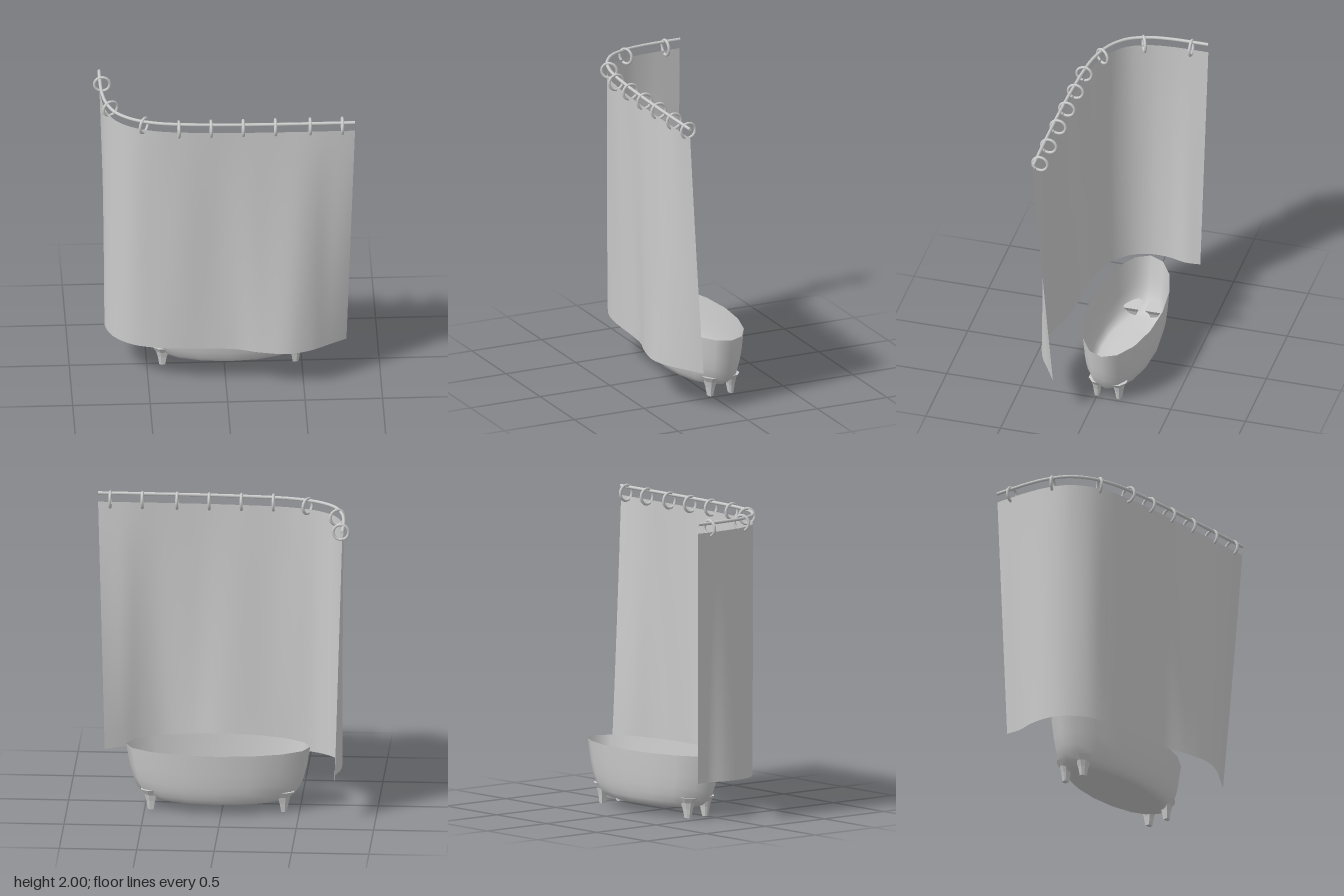
import * as THREE from 'three';

const grey = new THREE.MeshStandardMaterial({ color: 0xcccccc, side: THREE.DoubleSide });
const flatGrey = new THREE.MeshStandardMaterial({ color: 0xcccccc, flatShading: true });

const curveAt = (y, points) =>
  new THREE.CatmullRomCurve3(points.map(([x, z]) => new THREE.Vector3(x, y, z)));

// Plan of the rail and curtain top, and of the wavy curtain hem (x, z)
const railPlan = [
  [-0.79, -0.39], [-0.79, -0.27], [-0.785, -0.13], [-0.765, 0], [-0.71, 0.13],
  [-0.6, 0.225], [-0.45, 0.28], [-0.3, 0.303], [-0.1, 0.317], [0.06, 0.324],
  [0.22, 0.328], [0.42, 0.33], [0.57, 0.33], [0.69, 0.33], [0.83, 0.33],
];
const hemPlan = [
  [-0.74, -0.35], [-0.735, -0.25], [-0.765, -0.13], [-0.765, 0], [-0.715, 0.12],
  [-0.6, 0.22], [-0.45, 0.268], [-0.3, 0.285], [-0.1, 0.294], [0.06, 0.31],
  [0.22, 0.358], [0.4, 0.385], [0.54, 0.348], [0.66, 0.28], [0.78, 0.21],
];

function makeCurtain() {
  const top = curveAt(1.92, railPlan), hem = curveAt(0.28, hemPlan);
  const geo = new THREE.PlaneGeometry(1, 1, 84, 14);
  const pos = geo.attributes.position;
  for (let i = 0; i < pos.count; i++) {
    const u = pos.getX(i) + 0.5, t = 0.5 - pos.getY(i);
    const p = top.getPoint(u).lerp(hem.getPoint(u), t);
    // Faint folds that fade out at the top and hem
    p.z += 0.004 * Math.sin(u * 40) * Math.sin(t * Math.PI);
    pos.setXYZ(i, p.x, p.y, p.z);
  }
  geo.computeVertexNormals();
  const mesh = new THREE.Mesh(geo, grey);
  mesh.name = 'curtain';
  return mesh;
}

function makeRail() {
  const rail = new THREE.Group();
  rail.name = 'curtainRail';
  const path = curveAt(1.98, railPlan);
  const tube = new THREE.Mesh(new THREE.TubeGeometry(path, 64, 0.011, 8), grey);
  tube.name = 'rod';
  rail.add(tube);
  // End discs of the rod
  for (const u of [0, 1]) {
    const cap = new THREE.Mesh(new THREE.CircleGeometry(0.011, 8), grey);
    cap.position.copy(path.getPoint(u));
    cap.lookAt(cap.position.clone().addScaledVector(path.getTangent(u), u ? 1 : -1));
    cap.name = 'rodEnd';
    rail.add(cap);
  }
  return rail;
}

// Hanging rings: x, z and the direction of the rail through each
function makeRings() {
  const rings = new THREE.Group();
  rings.name = 'curtainRings';
  const spots = [[-0.775, -0.28, 0, -1], [-0.735, 0.025, 0.42, 0.9], [-0.528, 0.245, 0.83, 0.55]];
  for (const x of [-0.305, -0.098, 0.11, 0.318, 0.542, 0.75]) spots.push([x, 0.305, 1, 0]);
  const geo = new THREE.TorusGeometry(0.05, 0.0095, 8, 20);
  for (const [x, z, dx, dz] of spots) {
    const ring = new THREE.Mesh(geo, grey);
    ring.position.set(x, 1.945, z);
    ring.rotation.y = Math.atan2(dx, dz);
    ring.name = 'ring';
    rings.add(ring);
  }
  return rings;
}

// Foot: a flaring cross-section lofted upward, mirrored by sx and sz
function makeFoot(sx, sz) {
  const outline = [[-0.06, -0.055], [-0.06, 0.05], [0.02, 0.05], [0.065, 0.015], [0.065, -0.025], [0.045, -0.055]];
  if (sx * sz < 0) outline.reverse();
  const levels = [[0, 0.3], [0.06, 0.45], [0.1, 0.62], [0.135, 1]];
  const rows = levels.map(([y, s]) => outline.map(([x, z]) => [sx * (0.43 + x * s), y, sz * (0.075 + z * s)]));
  const n = outline.length, v = [];
  for (let r = 0; r + 1 < rows.length; r++) {
    for (let i = 0; i < n; i++) {
      const j = (i + 1) % n;
      const a = rows[r][i], b = rows[r][j], c = rows[r + 1][j], d = rows[r + 1][i];
      v.push(...a, ...b, ...c, ...a, ...c, ...d);
    }
  }
  const low = rows[0], high = rows[rows.length - 1];
  for (let i = 1; i + 1 < n; i++) {
    v.push(...low[0], ...low[i + 1], ...low[i], ...high[0], ...high[i], ...high[i + 1]);
  }
  const geo = new THREE.BufferGeometry();
  geo.setAttribute('position', new THREE.Float32BufferAttribute(v, 3));
  geo.computeVertexNormals();
  const foot = new THREE.Mesh(geo, flatGrey);
  foot.name = 'foot';
  return foot;
}

function makeTub() {
  const tub = new THREE.Group();
  tub.name = 'bathtub';
  // Thin oval basin, radius as a share of the rim
  const profile = [
    [0, 0.06], [0.4, 0.06], [0.68, 0.062], [0.77, 0.075], [0.84, 0.105],
    [0.89, 0.15], [0.925, 0.2], [0.96, 0.28], [1, 0.415],
  ].map(([r, y]) => new THREE.Vector2(r, y));
  const geo = new THREE.LatheGeometry(profile, 16).scale(0.595, 1, 0.243);
  const basin = new THREE.Mesh(geo, grey);
  basin.name = 'basin';
  tub.add(basin);
  for (const sx of [-1, 1]) for (const sz of [-1, 1]) tub.add(makeFoot(sx, sz));
  tub.position.set(0.03, 0, -0.07);
  return tub;
}

export function createModel() {
  const model = new THREE.Group();
  model.name = 'bathtubWithCurtain';
  model.add(makeTub(), makeCurtain(), makeRail(), makeRings());
  return model;
}
